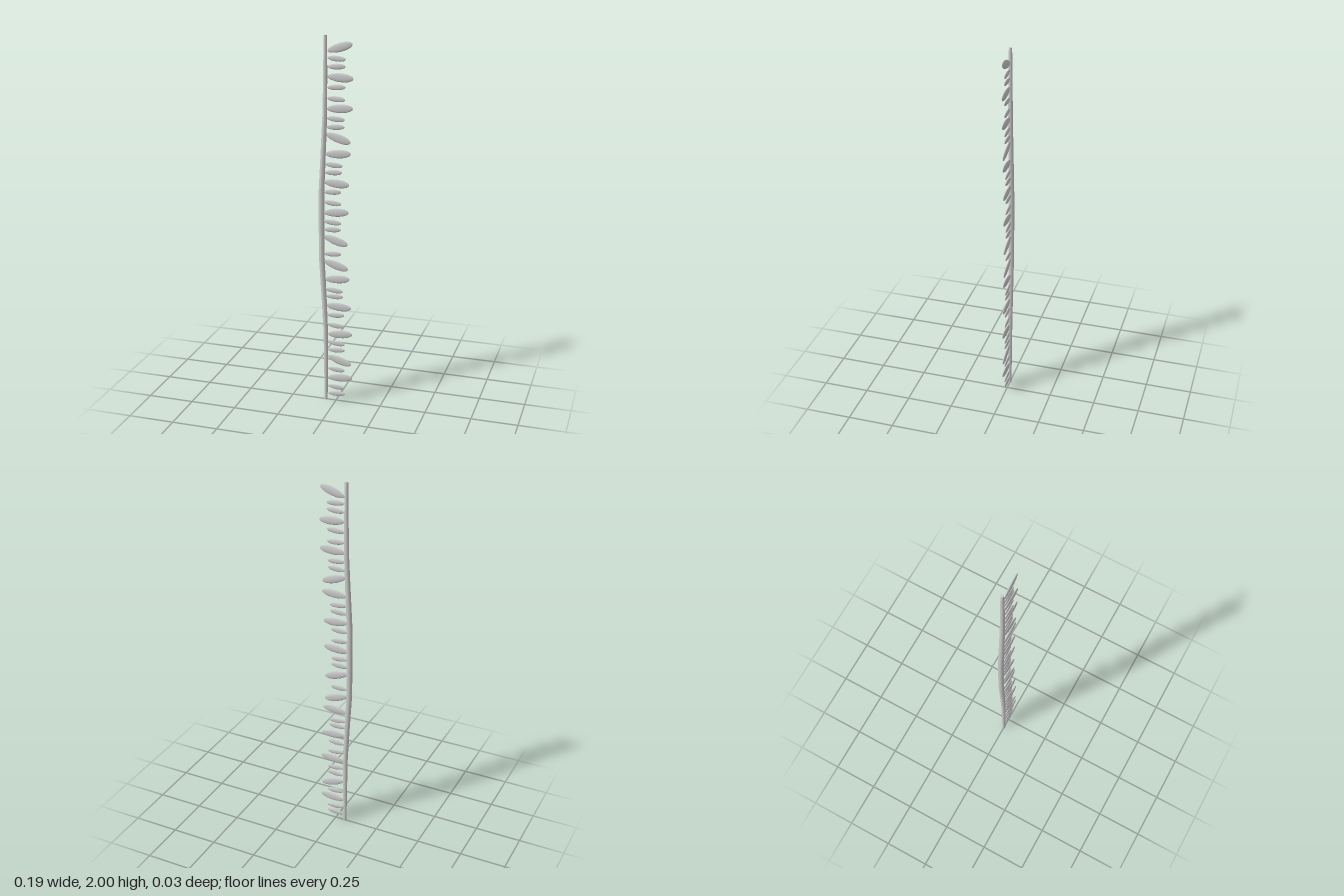
import * as THREE from 'three';

// Stem centre line and radius by height: [y, x, radius]
const STEM = [
  [0, -0.057, 0.0085], [0.16, -0.057, 0.0105], [0.4, -0.058, 0.0125], [0.6, -0.067, 0.014],
  [0.8, -0.078, 0.015], [1, -0.08, 0.0155], [1.2, -0.079, 0.015], [1.4, -0.069, 0.014],
  [1.6, -0.06, 0.0125], [1.84, -0.057, 0.0105], [2, -0.057, 0.0085],
];

function stemAt(y) {
  let i = 0;
  while (i < STEM.length - 2 && y > STEM[i + 1][0]) i++;
  const [a, b] = [STEM[i], STEM[i + 1]];
  const t = (y - a[0]) / (b[0] - a[0]);
  return { x: THREE.MathUtils.lerp(a[1], b[1], t), r: THREE.MathUtils.lerp(a[2], b[2], t) };
}

// Leaves as [height of centre, tilt]
const BIG = [
  [1.942, 0.3], [1.79, -0.05], [1.632, 0.05], [1.477, -0.3], [1.395, 0.06], [1.237, -0.07],
  [1.08, 0.08], [0.925, -0.3], [0.788, -0.3], [0.71, 0.08], [0.553, -0.05], [0.395, 0.08],
  [0.24, -0.3], [0.138, 0.08],
];
const SMALL = [
  [1.885, -0.06], [1.845, 0.05], [1.74, 0.05], [1.68, -0.06], [1.577, -0.06], [1.535, 0.05],
  [1.335, -0.07], [1.295, 0.05], [1.19, 0.05], [1.13, -0.08], [1.025, -0.08], [0.985, 0.05],
  [0.85, 0.05], [0.645, -0.08], [0.61, 0.02], [0.503, 0.05], [0.443, -0.08], [0.34, -0.08],
  [0.3, 0.05], [0.185, -0.06], [0.08, -0.06], [0.04, 0.05],
];

// Flattened spindle along +x, fullest just beyond the middle
function leafGeometry(length, halfHeight, halfDepth) {
  const profile = [];
  for (let i = 0; i <= 14; i++) {
    const a = Math.PI * i / 14;
    const t = (1 - Math.cos(a)) / 2;
    profile.push(new THREE.Vector2(i % 14 ? Math.sin(a) * (0.92 + 0.16 * t) : 0, t));
  }
  return new THREE.LatheGeometry(profile, 16)
    .rotateZ(-Math.PI / 2)
    .scale(length, halfHeight, halfDepth);
}

export function createModel() {
  const model = new THREE.Group();
  const material = new THREE.MeshStandardMaterial({ color: 0xcccccc });

  // Bowed stem, thicker in the middle
  const stemGeo = new THREE.CylinderGeometry(1, 1, 2, 12, 50).translate(0, 1, 0);
  const p = stemGeo.attributes.position;
  for (let i = 0; i < p.count; i++) {
    const { x, r } = stemAt(p.getY(i));
    p.setX(i, x + p.getX(i) * r);
    p.setZ(i, p.getZ(i) * r);
  }
  stemGeo.computeVertexNormals();
  const stem = new THREE.Mesh(stemGeo, material);
  stem.name = 'stem';
  model.add(stem);

  // One row of leaves along the stem's left side
  const addLeaves = (name, list, length, halfHeight, halfDepth) => {
    const geo = leafGeometry(length, halfHeight, halfDepth);
    const group = new THREE.Group();
    group.name = name;
    for (const [y, tilt] of list) {
      const leaf = new THREE.Mesh(geo, material);
      leaf.name = 'leaf';
      leaf.position.set(stemAt(y).x + 0.011, y - Math.sin(tilt) * length / 2, 0);
      leaf.rotation.z = tilt;
      group.add(leaf);
    }
    model.add(group);
  };
  addLeaves('largeLeaves', BIG, 0.137, 0.0225, 0.006);
  addLeaves('smallLeaves', SMALL, 0.096, 0.0145, 0.005);

  return model;
}
